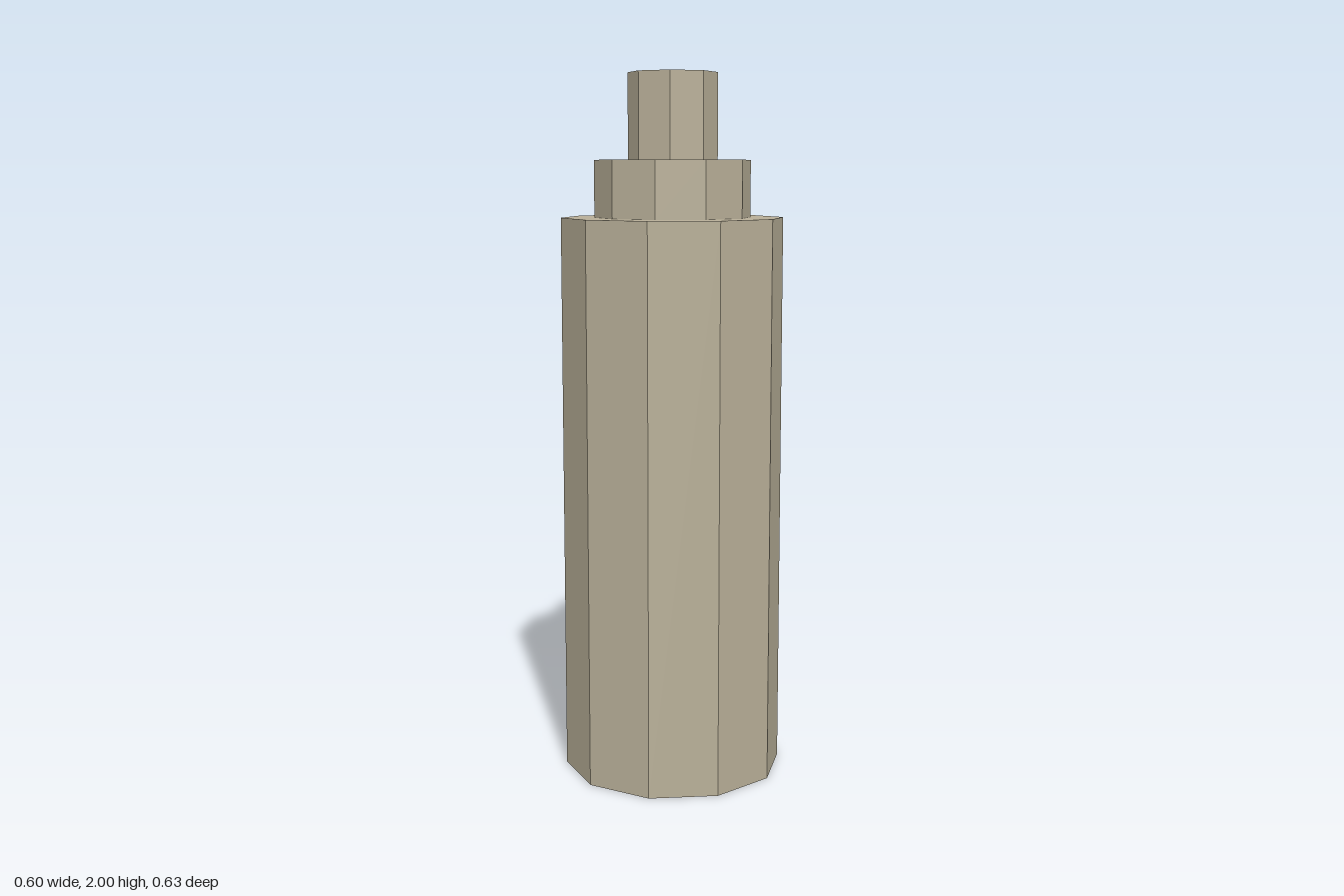
import * as THREE from 'three';

export function createModel() {
  const group = new THREE.Group();
  const stone = new THREE.MeshStandardMaterial({ color: 0xb8af98, flatShading: true });
  stone.name = 'warm grey stone';

  // Upright prism with one corner facing the front
  const addPrism = (name, radius, sides, bottom, top) => {
    const geometry = new THREE.CylinderGeometry(radius, radius, top - bottom, sides);
    const mesh = new THREE.Mesh(geometry, stone);
    mesh.name = name;
    mesh.position.y = (bottom + top) / 2;
    group.add(mesh);
  };

  // Stepped column: wide body, narrower collar, thin tip
  addPrism('body', 0.315, 10, 0, 1.6);
  addPrism('collar', 0.221, 10, 1.6, 1.76);
  addPrism('tip', 0.126, 8, 1.76, 2);

  return group;
}
